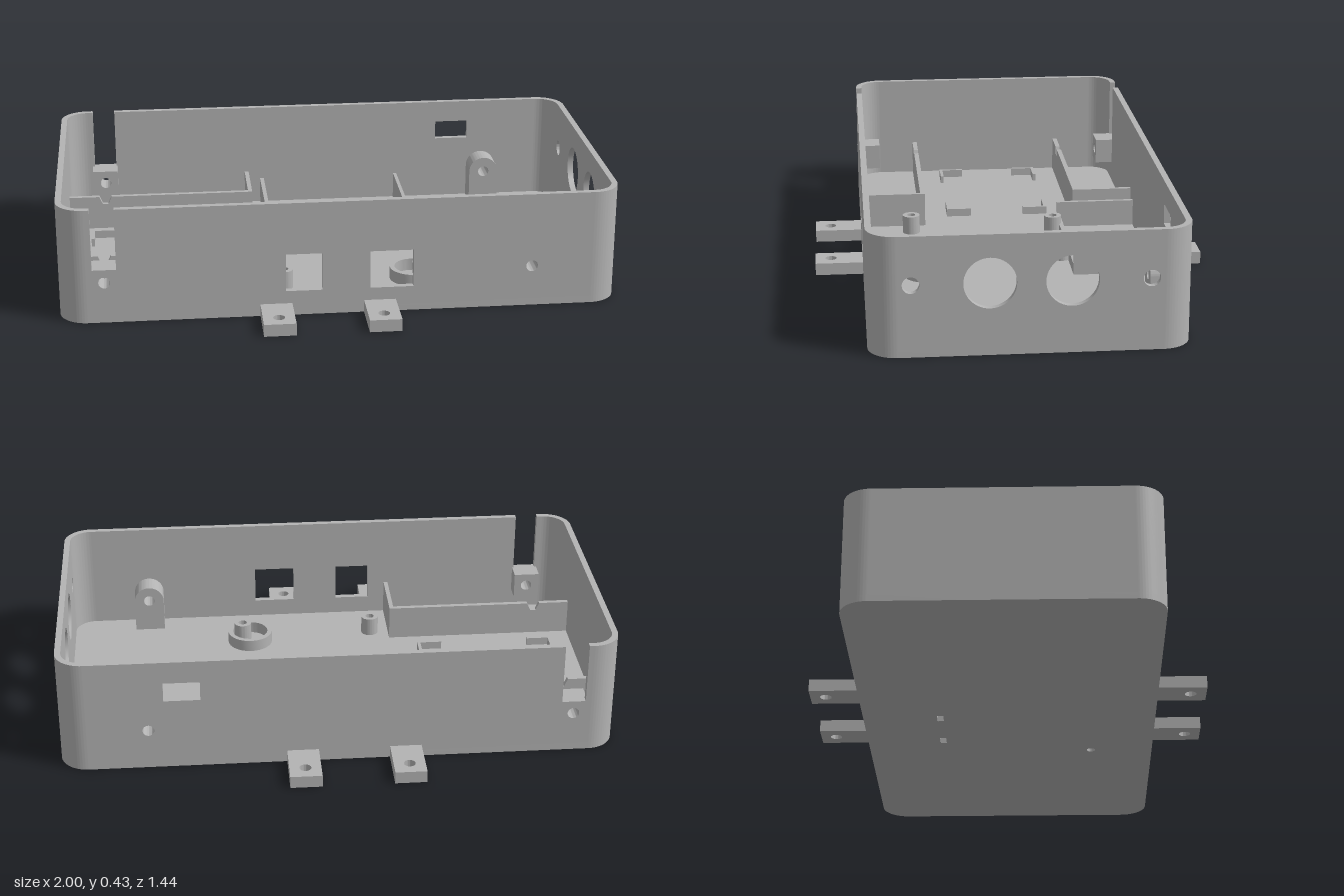
import * as THREE from 'three';
import { toCreasedNormals } from 'three/addons/utils/BufferGeometryUtils.js';

const L = 1, W = 0.545, H = 0.425;      // half length, half width, height
const T = 0.022, FLOOR = 0.025, R = 0.1; // wall, floor, corner radius

const rectPath = (x0, y0, x1, y1, Type = THREE.Path) => {
  const p = new Type();
  p.moveTo(x0, y0); p.lineTo(x1, y0); p.lineTo(x1, y1); p.lineTo(x0, y1); p.closePath();
  return p;
};
const circle = (x, y, r, Type = THREE.Path) => {
  const p = new Type();
  p.absarc(x, y, r, 0, Math.PI * 2, false);
  return p;
};
const polygon = (pts) => new THREE.Shape(pts.map(([x, y]) => new THREE.Vector2(x, y)));

export function createModel() {
  const model = new THREE.Group();
  model.name = 'enclosureBase';
  const grey = new THREE.MeshStandardMaterial({ color: 0xb3b3b3 });
  grey.name = 'grey plastic';

  const add = (name, geo) => {
    const m = new THREE.Mesh(geo, grey);
    m.name = name;
    model.add(m);
    return m;
  };
  const extrude = (shape, depth, holes = []) => {
    shape.holes.push(...holes);
    return new THREE.ExtrudeGeometry(shape, { depth, bevelEnabled: false, curveSegments: 24 });
  };
  // plate in the x/y plane, from z0 to z0 + depth
  const upright = (name, shape, z0, depth, holes) =>
    add(name, toCreasedNormals(extrude(shape, depth, holes).translate(0, 0, z0), 0.5));
  // plan outline drawn in (x, -z), raised from y0 to y0 + height
  const raised = (name, shape, y0, height, holes) =>
    add(name, toCreasedNormals(extrude(shape, height, holes).rotateX(-Math.PI / 2).translate(0, y0, 0), 0.5));
  const box = (name, x0, x1, y0, y1, z0, z1) =>
    add(name, new THREE.BoxGeometry(x1 - x0, y1 - y0, z1 - z0)
      .translate((x0 + x1) / 2, (y0 + y1) / 2, (z0 + z1) / 2));

  // Floor with two slots and one drain hole
  const cx = L - R, cz = W - R;
  const plan = new THREE.Shape();
  plan.absarc(cx, cz, R, 0, Math.PI / 2, false);
  plan.absarc(-cx, cz, R, Math.PI / 2, Math.PI, false);
  plan.absarc(-cx, -cz, R, Math.PI, Math.PI * 1.5, false);
  plan.absarc(cx, -cz, R, Math.PI * 1.5, Math.PI * 2, false);
  plan.closePath();
  raised('floor', plan, 0, FLOOR, [
    rectPath(-0.055, 0.245, -0.007, 0.268), rectPath(0.155, 0.245, 0.203, 0.268),
    circle(0.285, -0.31, 0.016),
  ]);

  // Rounded wall corners
  for (let i = 0; i < 4; i++) {
    const x = i === 0 || i === 3 ? cx : -cx, z = i < 2 ? cz : -cz, a = i * Math.PI / 2;
    const s = new THREE.Shape();
    s.absarc(x, z, R, a, a + Math.PI / 2, false);
    s.absarc(x, z, R - T, a + Math.PI / 2, a, true);
    s.closePath();
    raised('wallCorner', s, FLOOR, H - FLOOR);
  }

  // Long walls with open slot, screw holes and windows
  const longWall = () => polygon([[-cx, FLOOR], [cx, FLOOR], [cx, H], [-0.795, H],
    [-0.795, 0.2], [-0.88, 0.2], [-0.88, H], [-cx, H]]);
  const screws = () => [circle(-0.838, 0.152, 0.021), circle(0.682, 0.152, 0.021)];
  upright('frontWall', longWall(), W - T, T, [...screws(),
    rectPath(-0.2, 0.092, -0.07, 0.232), rectPath(0.1, 0.092, 0.255, 0.232)]);
  upright('backWall', longWall(), -W, T, [...screws(), rectPath(0.495, 0.27, 0.625, 0.342)]);

  // Short walls, the +x one with cable openings
  const shortWall = (name, x, holes) =>
    add(name, toCreasedNormals(extrude(rectPath(-cz, FLOOR, cz, H, THREE.Shape), T, holes)
      .rotateY(Math.PI / 2).translate(x, 0, 0), 0.5));
  shortWall('leftWall', L - T, [circle(-0.138, 0.255, 0.089), circle(0.136, 0.255, 0.089),
    circle(-0.4, 0.255, 0.029), circle(0.4, 0.255, 0.029)]);
  shortWall('rightWall', -L, []);

  for (const s of [1, -1]) {
    // Mounting tabs
    for (const x of [-0.235, 0.135]) {
      const a = s * W, b = s * 0.72;
      raised('mountingTab', rectPath(x - 0.057, Math.min(a, b), x + 0.057, Math.max(a, b), THREE.Shape),
        0, 0.045, [circle(x, s * 0.663, 0.021)]);
    }
    // Screw block under each slot, and arched screw boss
    const inner = W - T, z0 = (depth) => (s > 0 ? inner - depth : -inner);
    upright('screwBlock', rectPath(-0.888, 0.102, -0.79, 0.2, THREE.Shape), z0(0.068), 0.068,
      [circle(-0.838, 0.152, 0.021)]);
    const arch = new THREE.Shape();
    arch.moveTo(0.625, FLOOR);
    arch.lineTo(0.739, FLOOR);
    arch.absarc(0.682, 0.152, 0.057, 0, Math.PI, false);
    arch.closePath();
    upright('screwBoss', arch, z0(0.085), 0.085, [circle(0.682, 0.152, 0.021)]);

    // Side compartments: notched divider plus end wall
    const top = 0.155;
    upright('compartmentDivider', polygon([[-L + T, FLOOR], [-0.265, FLOOR], [-0.265, top], [-0.815, top],
      [-0.828, top - 0.03], [-0.85, top - 0.03], [-0.863, top], [-L + T, top]]),
      s > 0 ? 0.292 : -0.31, 0.018);
    box('compartmentEnd', -0.281, -0.265, FLOOR, top, s > 0 ? 0.31 : -inner, s > 0 ? inner : -0.31);

    // Low corner locators
    for (const [x, d] of [[-0.895, 1], [-0.365, -1]]) {
      const t = 0.012, leg = 0.095, z = s * 0.2;
      const span = (a, b) => [Math.min(a, b), Math.max(a, b)];
      box('cornerLocator', ...span(x, x + d * leg), FLOOR, 0.055, ...span(z, z - s * t));
      box('cornerLocator', ...span(x, x + d * t), FLOOR, 0.055, ...span(z - s * t, z - s * leg));
    }
  }

  // Back tray: tall sides, low front lip
  box('traySide', -0.219, -0.204, FLOOR, 0.125, -W + T, -0.222);
  box('traySide', 0.325, 0.338, FLOOR, 0.125, -W + T, -0.222);
  box('trayLip', -0.204, 0.325, FLOOR, 0.065, -0.238, -0.222);

  // Hollow standoffs and the round collar
  for (const [x, z] of [[-0.14, -0.198], [0.155, -0.198], [-0.192, 0.35], [0.315, 0.335]])
    raised('standoff', circle(x, -z, 0.033, THREE.Shape), FLOOR, 0.07, [circle(x, -z, 0.016)]);
  raised('collar', circle(0.287, -0.312, 0.086, THREE.Shape), FLOOR, 0.045, [circle(0.287, -0.312, 0.068)]);

  return model;
}
